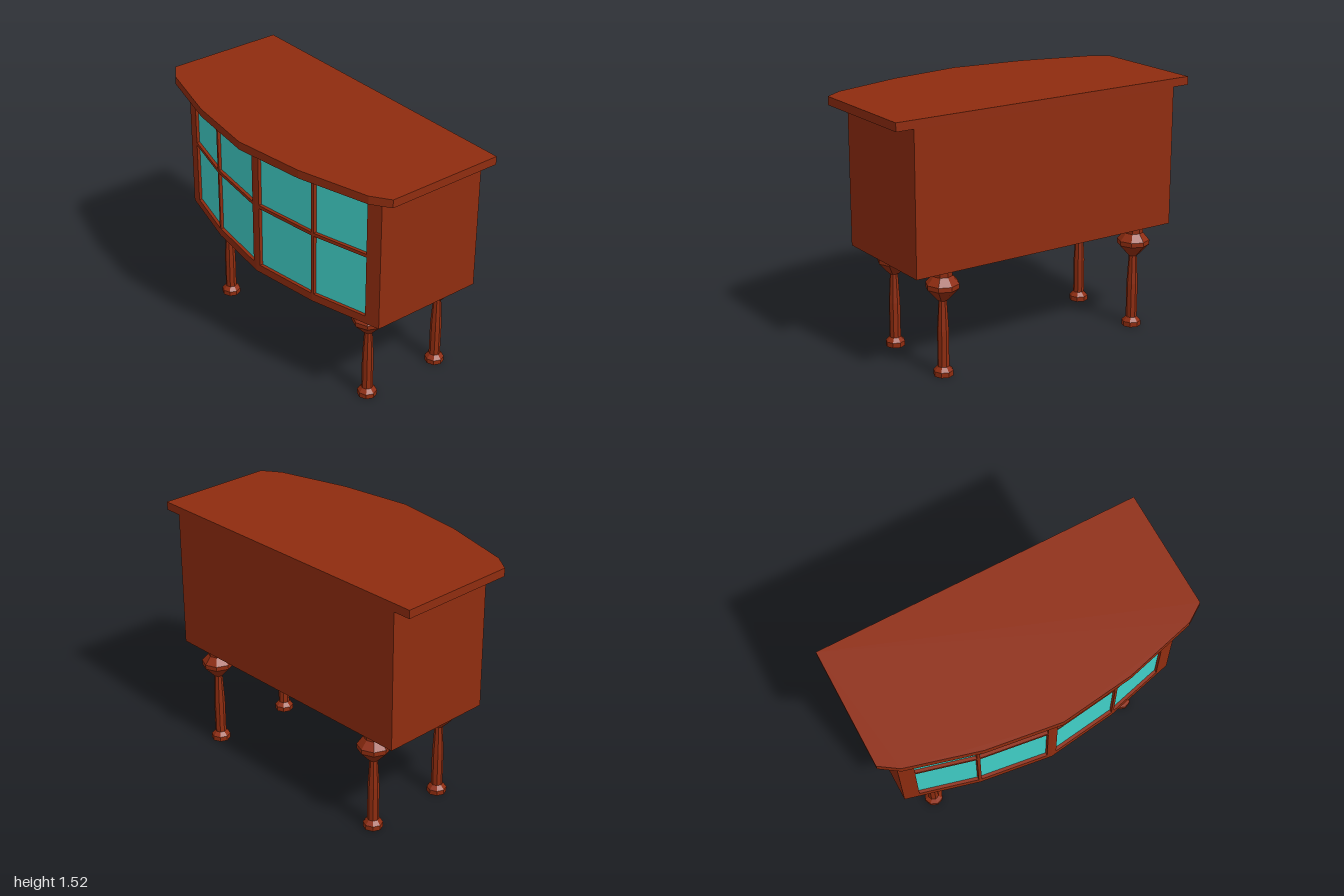
import * as THREE from 'three';

// Bow-fronted cabinet on four turned legs.
const BOW = [[-0.89, 0.228], [-0.445, 0.345], [0, 0.405], [0.445, 0.345], [0.89, 0.228]];
const BACK = -0.49;

// z of the bowed front at a given x
function bowZ(x) {
  for (let i = 1; i < BOW.length; i++) {
    const [x0, z0] = BOW[i - 1], [x1, z1] = BOW[i];
    if (x <= x1) return z0 + (z1 - z0) * (x - x0) / (x1 - x0);
  }
  return BOW[BOW.length - 1][1];
}

// Upright prism from a footprint of [x, z] points
function prism(points, y0, y1) {
  const shape = new THREE.Shape(points.map(([x, z]) => new THREE.Vector2(x, -z)));
  const geometry = new THREE.ExtrudeGeometry(shape, { depth: y1 - y0, bevelEnabled: false });
  return geometry.rotateX(-Math.PI / 2).translate(0, y0, 0);
}

// Strip that follows the bow between x0 and x1, set back from `near` to `far`
function bowStrip(x0, x1, y0, y1, near, far) {
  const xs = [x0, ...BOW.map(p => p[0]).filter(x => x > x0 && x < x1), x1];
  const front = xs.map(x => [x, bowZ(x) - near]);
  const rear = xs.map(x => [x, bowZ(x) - far]).reverse();
  return prism([...front, ...rear], y0, y1);
}

export function createModel() {
  const model = new THREE.Group();
  const wood = new THREE.MeshStandardMaterial({ color: 0x8f2c0f, flatShading: true });
  wood.name = 'red brown wood';
  const glass = new THREE.MeshStandardMaterial({ color: 0x40d0c8, flatShading: true });
  glass.name = 'turquoise pane';

  const add = (parent, name, geometry, material) => {
    const mesh = new THREE.Mesh(geometry, material);
    mesh.name = name;
    parent.add(mesh);
    return mesh;
  };

  // Case and overhanging top
  const recess = 0.025;
  add(model, 'caseBody', prism([[-0.89, BACK], ...BOW.map(([x, z]) => [x, z - recess]), [0.89, BACK]], 0.63, 1.47), wood);
  add(model, 'tabletop', prism([
    [-1, BACK], [-1, 0.25], [-0.89, 0.325], [-0.45, 0.445], [0, 0.505],
    [0.45, 0.445], [0.89, 0.325], [1, 0.25], [1, BACK],
  ], 1.47, 1.52), wood);

  // Front frame: rails, stiles and glazing bars
  const frame = new THREE.Group();
  frame.name = 'frontFrame';
  model.add(frame);
  add(frame, 'bottomRail', bowStrip(-0.89, 0.89, 0.63, 0.68, 0, recess), wood);
  add(frame, 'topRail', bowStrip(-0.89, 0.89, 1.42, 1.47, 0, recess), wood);
  for (const [x0, x1] of [[-0.89, -0.8], [-0.455, -0.437], [-0.03, 0.03], [0.437, 0.455], [0.8, 0.89]]) {
    add(frame, 'stile', bowStrip(x0, x1, 0.68, 1.42, 0, recess), wood);
  }

  // Recessed panes, two rows in four columns
  const panes = new THREE.Group();
  panes.name = 'panes';
  model.add(panes);
  for (const [x0, x1] of [[-0.8, -0.455], [-0.437, -0.03], [0.03, 0.437], [0.455, 0.8]]) {
    add(frame, 'crossBar', bowStrip(x0, x1, 1.065, 1.086, 0, recess), wood);
    for (const [y0, y1] of [[0.68, 1.065], [1.086, 1.42]]) {
      add(panes, 'pane', bowStrip(x0, x1, y0, y1, 0.02, recess), glass);
    }
  }

  // Turned eight-sided legs
  const profile = [
    [0, 0], [0.058, 0], [0.058, 0.03], [0.034, 0.055], [0.034, 0.27], [0.024, 0.447],
    [0.03, 0.45], [0.097, 0.523], [0.097, 0.55], [0.058, 0.595], [0.058, 0.635], [0, 0.635],
  ].map(([r, y]) => new THREE.Vector2(r, y));
  const legGeometry = new THREE.LatheGeometry(profile, 8);
  for (const [end, z] of [['front', 0.118], ['back', -0.413]]) {
    for (const [side, x] of [['Left', 0.678], ['Right', -0.678]]) {
      add(model, `${end}${side}Leg`, legGeometry, wood).position.set(x, 0, z);
    }
  }
  return model;
}
